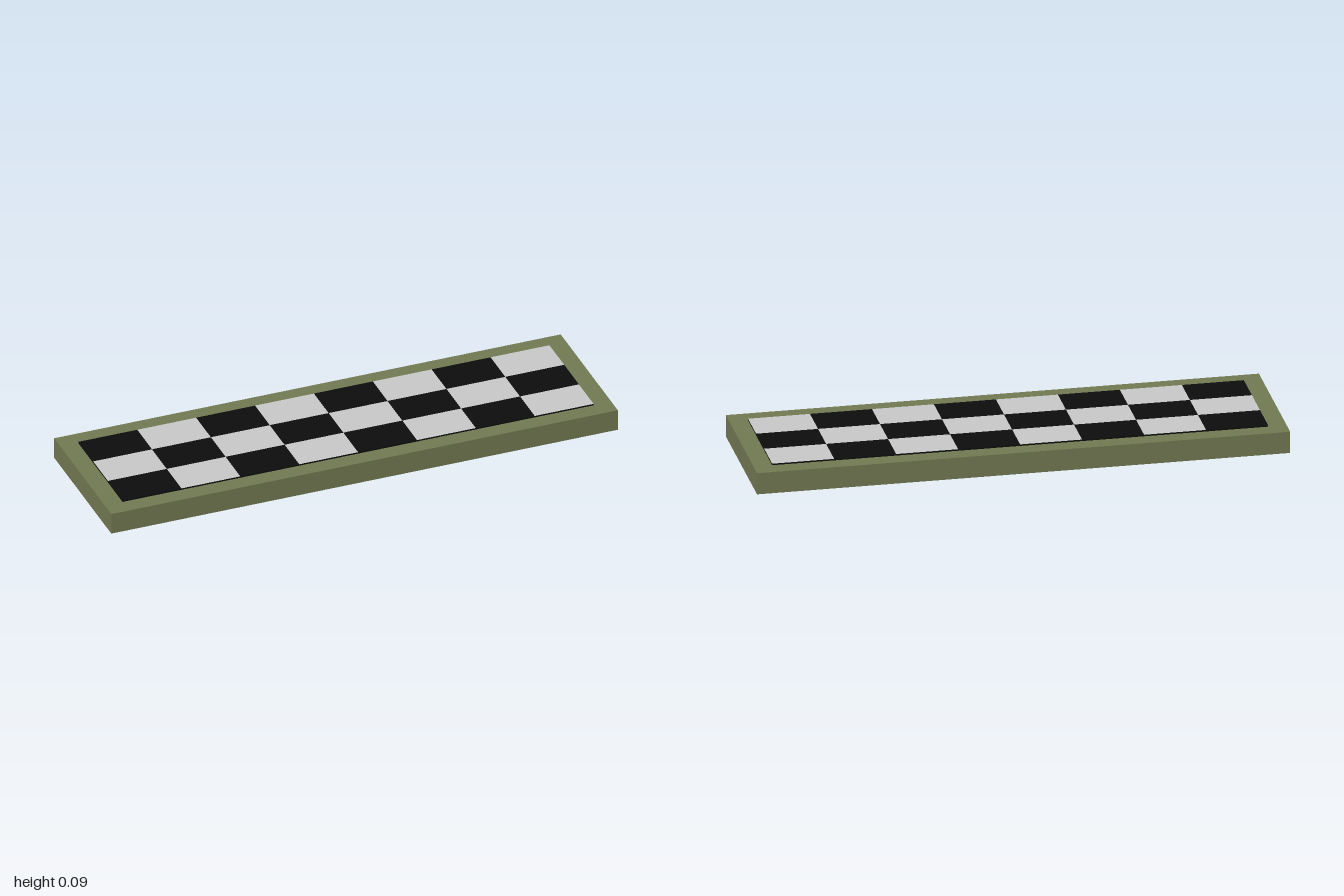
import * as THREE from 'three';

const mat = (name, color) => {
  const m = new THREE.MeshStandardMaterial({ color });
  m.name = name;
  return m;
};

export function createModel() {
  const olive = mat('olive', 0x727952);
  const black = mat('black', 0x0d0d0d);
  const white = mat('lightGrey', 0xc8c8c8);

  const baseHeight = 0.084, panelHeight = 0.006;
  const columns = 8, rows = 3;
  const model = new THREE.Group();
  model.name = 'checkeredPlatform';

  // Solid base slab
  const base = new THREE.Mesh(new THREE.BoxGeometry(2, baseHeight, 0.574), olive);
  base.name = 'base';
  base.position.y = baseHeight / 2;
  model.add(base);

  // Thin raised panel: black sides, top squares alternating by material group
  const geometry = new THREE.BoxGeometry(1.86, panelHeight, 0.444, columns, 1, rows);
  const topStart = rows * 2 * 6; // the two end faces come first
  const topCount = columns * rows * 6;
  const total = geometry.index.count;
  geometry.clearGroups();
  geometry.addGroup(0, topStart, 0);
  for (let row = 0; row < rows; row++) {
    for (let col = 0; col < columns; col++) {
      geometry.addGroup(topStart + (row * columns + col) * 6, 6, (row + col) % 2);
    }
  }
  geometry.addGroup(topStart + topCount, total - topStart - topCount, 0);

  const panel = new THREE.Mesh(geometry, [black, white]);
  panel.name = 'checkeredPanel';
  panel.position.y = baseHeight + panelHeight / 2;
  model.add(panel);

  return model;
}
